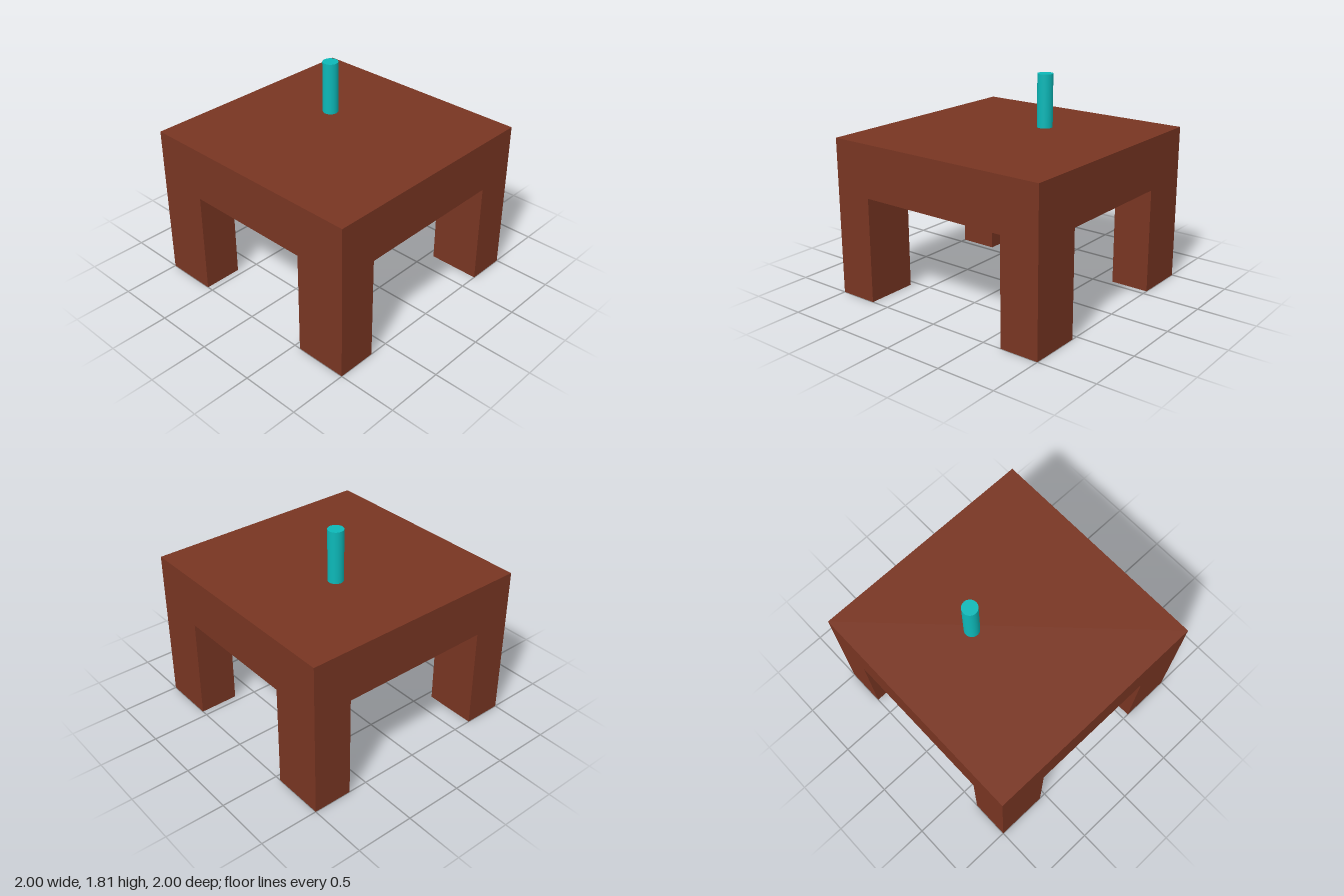
import * as THREE from 'three';

export function createModel() {
  const model = new THREE.Group();
  model.name = 'table';
  const wood = new THREE.MeshStandardMaterial({ color: 0x783522 });
  const teal = new THREE.MeshStandardMaterial({ color: 0x0cb8b8 });

  const add = (name, geometry, material, x, y, z) => {
    const mesh = new THREE.Mesh(geometry, material);
    mesh.name = name;
    mesh.position.set(x, y, z);
    model.add(mesh);
  };

  // Thick square top
  const legHeight = 0.89, topHeight = 0.445;
  add('tableTop', new THREE.BoxGeometry(2, topHeight, 2), wood, 0, legHeight + topHeight / 2, 0);

  // Four corner legs, flush with the top's sides
  const legWidth = 0.335, legDepth = 0.445;
  const leg = new THREE.BoxGeometry(legWidth, legHeight, legDepth);
  for (const [endName, sz] of [['front', 1], ['back', -1]]) {
    for (const [sideName, sx] of [['Left', 1], ['Right', -1]]) {
      add(`${endName}${sideName}Leg`, leg, wood,
        sx * (1 - legWidth / 2), legHeight / 2, sz * (1 - legDepth / 2));
    }
  }

  // Upright cylinder hovering just above the top
  add('cylinder', new THREE.CylinderGeometry(0.065, 0.065, 0.445, 32), teal, 0.165, 1.583, -0.228);

  return model;
}
